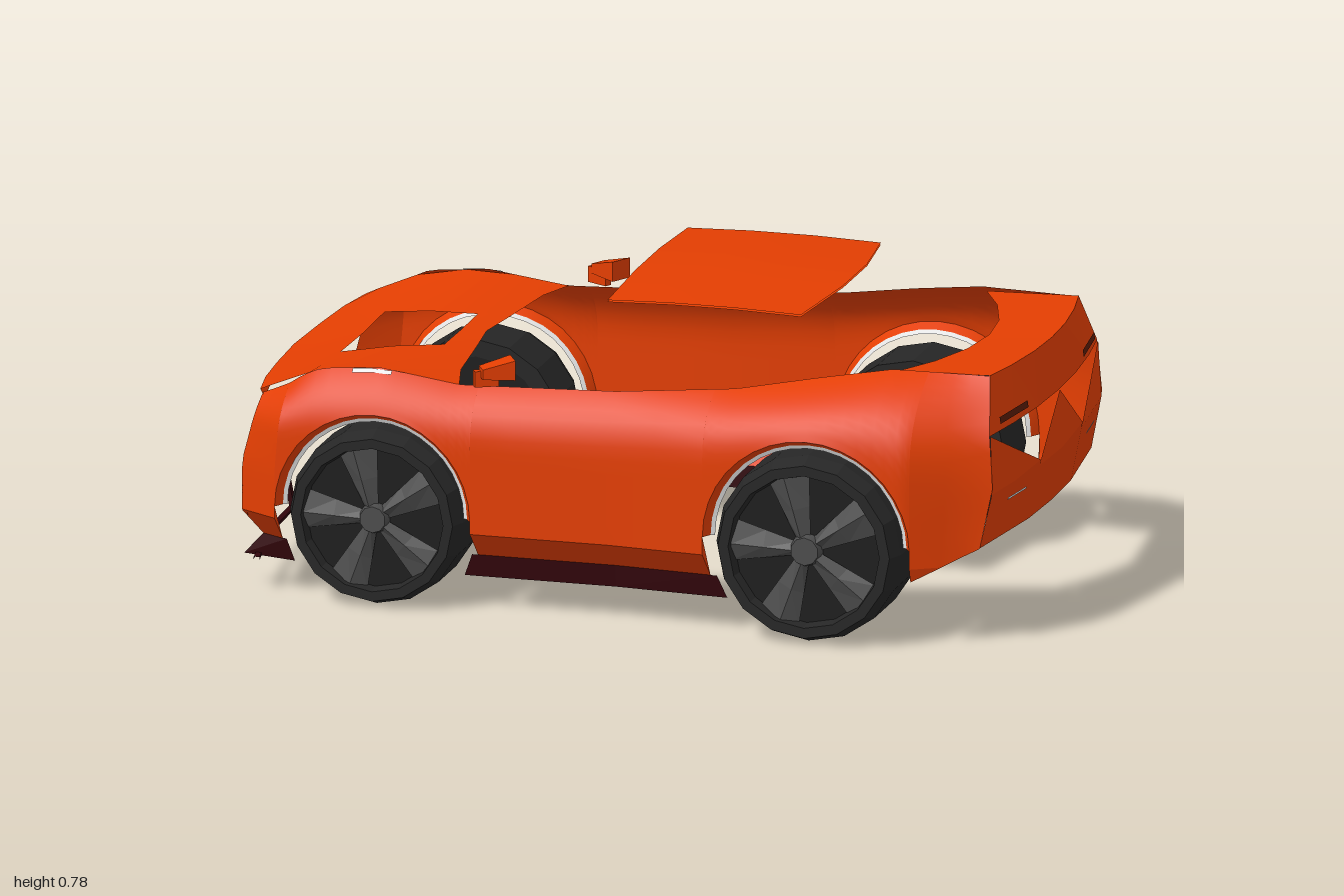
import * as THREE from 'three';

const mat = (name, color, double) => {
  const m = new THREE.MeshStandardMaterial({ color });
  m.name = name;
  if (double) m.side = THREE.DoubleSide;
  return m;
};

// Piecewise linear lookup in [x, value] pairs
function look(table, x) {
  if (x <= table[0][0]) return table[0][1];
  for (let i = 1; i < table.length; i++) {
    const [a, va] = table[i - 1], [b, vb] = table[i];
    if (x <= b) return va + (vb - va) * (x - a) / (b - a);
  }
  return table[table.length - 1][1];
}
const TOP_Y = [[-.95, .495], [-.85, .53], [-.75, .575], [-.6, .587], [-.4, .56], [0, .575], [.3, .6], [.5, .635], [.68, .662], [.955, .66]];
const WIDE = [[-.95, .485], [-.85, .545], [-.6, .555], [0, .555], [.3, .58], [.5, .59], [.75, .575], [.955, .485]];
const TOP_Z = [[-.95, .45], [-.85, .47], [0, .48], [.3, .46], [.5, .43], [.7, .395], [.955, .385]];
const FULLNESS = [[-.95, 2.2], [0, 2.4], [.4, 3.5], [.6, 3.5], [.955, 2.2]];
const TAIL_X = [[.25, .928], [.4, .958], [.53, .948], [.66, .925]];
const TAIL_Z = [[.25, .485], [.53, .467], [.66, .385]];
const CREASE = .205, SILL = .135;
const ARCHES = [{ x: -.6, y: .235, r: .25 }, { x: .51, y: .25, r: .262 }];
const lerp = THREE.MathUtils.lerp, clamp = THREE.MathUtils.clamp;

// Surface through a grid of points, leaving out skipped cells
function surf(grid, { flat = false, skip = () => false } = {}) {
  const n = grid[0].length, idx = [];
  for (let i = 0; i < grid.length - 1; i++) for (let j = 0; j < n - 1; j++) {
    if (skip(i, j)) continue;
    const a = i * n + j;
    idx.push(a, a + 1, a + n, a + 1, a + n + 1, a + n);
  }
  let g = new THREE.BufferGeometry();
  g.setAttribute('position', new THREE.Float32BufferAttribute(grid.flat(2), 3));
  g.setIndex(idx);
  if (flat) g = g.toNonIndexed();
  g.computeVertexNormals();
  return g;
}

// Point on the body side at x, y; s is the side sign
function sidePoint(x, y, s) {
  const w = look(WIDE, x), tz = look(TOP_Z, x), ty = look(TOP_Y, x);
  let z = w;
  if (y > .42) z = tz + (w - tz) * (1 - Math.pow(Math.min(1, (y - .42) / (ty - .42)), look(FULLNESS, x)));
  else if (y < CREASE) z = w - .072 * Math.min(1, (CREASE - y) / (CREASE - SILL)) * (x > .7 ? .3 : 1);
  const front = clamp((-.8 - x) / .15, 0, 1), rear = clamp((x - .78) / .175, 0, 1);
  const px = x + front * Math.max(0, y - .33) * .26 + rear * (look(TAIL_X, y) - .955);
  return [px, y, s * lerp(z, look(TAIL_Z, y), rear * rear)];
}

// Columns [x, lowest y] along the side, with both wheel arches cut out
function sideColumns() {
  const cols = [[-.95, .2], [-.91, SILL], [-.85, SILL]];
  const arch = a => {
    for (let i = 0; i <= 18; i++) {
      const t = Math.PI * (1 - i / 18);
      cols.push([a.x + a.r * Math.cos(t), a.y + a.r * Math.sin(t)]);
    }
  };
  arch(ARCHES[0]);
  for (const x of [-.35, -.25, -.12, 0, .12, .248]) cols.push([x, SILL]);
  arch(ARCHES[1]);
  for (const x of [.772, .85, .9, .955]) cols.push([x, .17 + (x - .772) * .43]);
  return cols;
}

export function createModel() {
  const car = new THREE.Group();
  car.name = 'sportsCar';
  const paint = mat('orangePaint', 0xe33e02, true);
  const maroon = mat('darkMaroonTrim', 0x32050b, true);
  const vent = mat('ventBrown', 0x5a1c06, true);
  const white = mat('whiteTrim', 0xf2f2f2, true);
  const rubber = mat('tyreBlack', 0x262626);
  const disc = mat('wheelDiscBlack', 0x1d1d1d);
  const metal = mat('spokeGrey', 0x4c4c4c, true);
  const add = (name, geo, m, parent = car) => {
    const mesh = new THREE.Mesh(geo, m);
    mesh.name = name;
    parent.add(mesh);
    return mesh;
  };

  const cols = sideColumns();
  for (const s of [1, -1]) {
    const side = s > 0 ? 'left' : 'right';
    // Body side above the sill crease, and the tucked-in sill below it
    add(side + 'BodySide', surf(cols.map(([x, b]) => {
      const lo = Math.max(b, CREASE), hi = look(TOP_Y, x);
      return Array.from({ length: 13 }, (_, k) => sidePoint(x, lerp(hi, lo, Math.pow(1 - k / 12, 1.6)), s));
    })), paint);
    add(side + 'Sill', surf(cols.map(([x, b]) => [sidePoint(x, b, s), sidePoint(x, Math.max(b, CREASE), s)]), { flat: true }), paint);
    // Dark skirts under the sill and at the front corner
    const skirt = (name, xs) => add(side + name, surf(xs.map(([x, x2]) => {
      const p = sidePoint(x, SILL, s);
      return [p, [x2, .08, p[2] - s * .004]];
    }), { flat: true }), maroon);
    skirt('SideSkirt', [[-.365, -.385], [0, 0], [.265, .29]]);
    skirt('FrontSkirt', [[-.91, -.96], [-.84, -.82]]);
    // Wheel arch lips with a slim white liner inside
    ARCHES.forEach((a, n) => {
      const lip = [], liner = [], name = side + (n ? 'RearArch' : 'FrontArch');
      for (let i = 0; i <= 18; i++) {
        const t = Math.PI * (i / 18), c = Math.cos(t), d = Math.sin(t);
        const p = sidePoint(a.x + a.r * c, a.y + a.r * d, s);
        const ring = (inset, depth) => [a.x + (a.r - inset) * c, a.y + (a.r - inset) * d, p[2] - s * depth];
        lip.push([p, ring(.014, .025)]);
        liner.push([ring(.014, .025), ring(.024, .03)]);
      }
      add(name + 'Lip', surf(lip), paint);
      add(name + 'Liner', surf(liner), white);
    });
    // Slim marker on top of the front wing
    add(side + 'WingMarker', surf([-.67, -.62, -.57].map(x => [.004, .012].map(d => {
      const p = sidePoint(x, look(TOP_Y, x) - d, s);
      return [x, p[1] + .004, p[2] + s * .002];
    }))), white);
    // Door mirror on a short stalk
    const mirror = new THREE.Group();
    mirror.name = side + 'Mirror';
    mirror.position.set(-.3, .612, s * .49);
    mirror.rotation.y = s * .5;
    const shell = new THREE.BoxGeometry(.08, .05, .06);
    const p = shell.attributes.position;
    for (let i = 0; i < p.count; i++) if (p.getX(i) < 0) {
      p.setY(i, p.getY(i) * .5 - .008);
      p.setZ(i, p.getZ(i) * .75);
    }
    shell.computeVertexNormals();
    add('mirrorShell', shell, paint, mirror);
    const stalk = add('mirrorStalk', new THREE.BoxGeometry(.06, .04, .02), paint, mirror);
    stalk.position.set(-.025, -.025, -s * .01);
    car.add(mirror);
  }

  // Bonnet with its vent opening
  const hood = [0, 1, 2, 3, 4, 5].map(i => {
    const hole = lerp(.19, .145, clamp((i - 2) / 2, 0, 1));
    return [-1, -.75, -.5, 0, .5, .75, 1].map(f => {
      const x0 = lerp(-.96, -.912, f * f), x1 = lerp(-.47, -.4, f * f);
      const x = [x0, -.88, -.785, -.66, -.535, x1][i];
      const e = look(TOP_Z, x), z = Math.abs(f) === .5 ? Math.sign(f) * hole : f * e;
      const mid = look([[-.96, .495], [-.785, .535], [-.6, .562], [-.47, .565]], x);
      const edge = i ? look(TOP_Y, x) : .505;
      return [x, lerp(mid, edge, (z / e) ** 2), z];
    });
  });
  add('bonnet', surf(hood, { skip: (i, j) => (i === 2 || i === 3) && (j === 2 || j === 3) }), paint);
  add('bonnetLip', surf([hood[0], hood[0].map(([x, y, z]) => [x + .012, y - .02, z])], { flat: true }), paint);

  // Front bumper bar, splitter strip and strut
  const spread = [-1, -.7, -.35, 0, .35, .7, 1];
  const bowed = (rows, name, m) => add(name, surf(rows.map(([x, y]) =>
    spread.map(f => [x + .05 * f * f, y, .487 * f])), { flat: true }), m);
  bowed([[-.955, .335], [-.99, .325], [-1, .25], [-.985, .19]], 'frontBumper', paint);
  bowed([[-.97, .08], [-.97, .087], [-.955, .087], [-.955, .08]], 'splitter', maroon);
  const strut = add('splitterStrut', new THREE.BoxGeometry(.012, .112, .018), maroon);
  strut.position.set(-.974, .136, 0);
  strut.rotation.z = .2;

  // Rear deck and upper tail panel
  const deck = f => [lerp(.97, .925, f * f), .661, .385 * f];
  const tailEdge = f => [lerp(.988, .948, f * f), .53, .467 * f];
  add('rearDeck', surf([0, .5, 1].map(u => spread.map(f => {
    const r = deck(f);
    return [lerp(lerp(.81, .69, f * f), r[0], u), .655 + .006 * u, r[2]];
  }))), paint);
  add('upperTailPanel', surf([spread.map(deck), spread.map(tailEdge)], { flat: true }), paint);
  add('tailShelf', surf([spread.map(tailEdge),
    spread.map(f => [lerp(.95, .91, f * f), .508, .465 * f])], { flat: true }), paint);

  // Lower tail panel with a W-shaped top edge
  const tailX = (z, y) => look([[.25, .97], [.4, 1], [.53, .99]], y) - look([[0, 0], [.18, .005], [.485, .042]], Math.abs(z));
  add('lowerTailPanel', surf([0, .5, 1].map(t => [-1, -.69, -.38, 0, .38, .69, 1].map(f => {
    const top = look([[0, .53], [.38, .4], [1, .53]], Math.abs(f));
    const y = t < 1 ? lerp(.25, .385, t * 2) : top;
    const z = f * lerp(.485, .467, (y - .25) / .28);
    return [tailX(z, y), y, z];
  })), { flat: true }), paint);
  // Tail vents above, slim white markers below
  for (const s of [1, -1]) {
    add('tailVent', surf([.24, .41].map(z =>
      [.548, .565].map(y => [lerp(.988, .97, (y - .53) / .132) - .042 * (z / .467) ** 2 + .006, y, s * z]))), vent);
    add('tailMarker', surf([.26, .375].map(z => [.347, .353].map(y => [tailX(z, y) + .006, y, s * z]))), white);
  }

  // Roof panel
  const roof = [0, .005].map(t => [0, .33, .66, 1].map(u => [-1, -.3, .3, 1].map(f =>
    [lerp(-.06, lerp(.472, .432, f * f), u), .762 + .014 * (1 - f * f) + .006 * Math.sin(Math.PI * u) + t, .348 * f])));
  roof.forEach((g, i) => add(i ? 'roofTop' : 'roofUnderside', surf(g), paint));

  // Wheels: tyre, disc, five ridged spokes, hub and inner slots
  const wheel = (name, x, r, zi, zo, s) => {
    const g = new THREE.Group();
    g.name = name;
    g.position.set(x, r, 0);
    if (s < 0) g.rotation.y = Math.PI;
    const lathe = pts => {
      const geo = new THREE.LatheGeometry(pts.map(q => new THREE.Vector2(...q)), 16).rotateX(Math.PI / 2).toNonIndexed();
      geo.computeVertexNormals();
      return geo;
    };
    add('tyre', lathe([[r * .8, zi], [r, zi], [r, zo - .045], [r * .93, zo], [r * .82, zo], [r * .79, zo - .03]]), rubber, g);
    add('wheelDisc', lathe([[r * .79, zo - .03], [0, zo - .03]]), disc, g);
    add('innerDisc', lathe([[0, zi], [r * .8, zi]]), disc, g);
    add('hub', new THREE.CylinderGeometry(r * .15, r * .18, .025, 10).rotateX(Math.PI / 2), metal, g).position.z = zo - .017;
    const slot = new THREE.CircleGeometry(1, 10).rotateY(Math.PI).scale(r * .2, r * .09, 1).translate(r * .47, 0, 0);
    const spoke = surf([[.1, .07], [.45, .15], [.8, .23]].map(([d, w]) =>
      [[d * r, w * r, zo - .026], [d * r, w * r * .15, zo - .01], [d * r, -w * r, zo - .026]]), { flat: true });
    for (let k = 0; k < 5; k++) {
      const a = .56 + k * Math.PI * 2 / 5;
      add('spoke', spoke, metal, g).rotation.z = a;
      const m = add('innerSlot', slot, metal, g);
      m.position.z = zi - .003;
      m.rotation.z = a;
    }
    car.add(g);
  };
  for (const s of [1, -1]) {
    wheel(s > 0 ? 'frontLeftWheel' : 'frontRightWheel', -.6, .221, .35, .553, s);
    wheel(s > 0 ? 'rearLeftWheel' : 'rearRightWheel', .51, .235, .36, .588, s);
  }
  return car;
}
